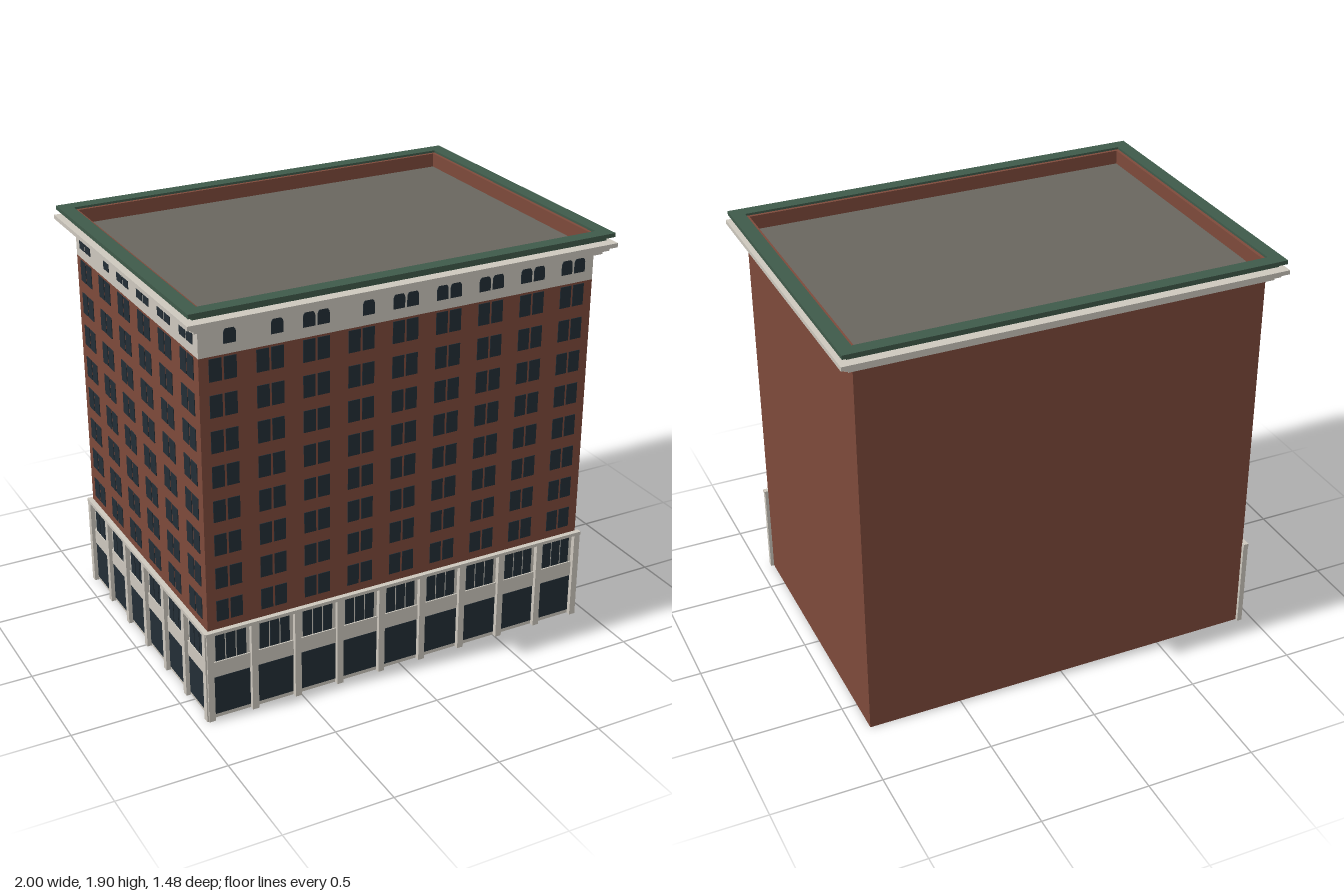
import * as THREE from 'three';
import { mergeGeometries } from 'three/addons/utils/BufferGeometryUtils.js';

const W = 1.858, D = 1.334;            // wall footprint
const BASE = 0.44, FRIEZE = 1.68, EAVE = 1.8;

function mat(name, color, side = THREE.FrontSide) {
  const m = new THREE.MeshStandardMaterial({ color, side });
  m.name = name;
  return m;
}

function box(w, y0, y1, d, x, z) {
  return new THREE.BoxGeometry(w, y1 - y0, d).translate(x, (y0 + y1) / 2, z);
}

// Horizontal rectangular frame, from an inner to an outer footprint
function ring(outW, outD, inW, inD, y0, y1) {
  const rect = (P, w, d) => new P([
    new THREE.Vector2(-w / 2, -d / 2), new THREE.Vector2(w / 2, -d / 2),
    new THREE.Vector2(w / 2, d / 2), new THREE.Vector2(-w / 2, d / 2)]);
  const s = rect(THREE.Shape, outW, outD);
  s.holes.push(rect(THREE.Path, inW, inD));
  return new THREE.ExtrudeGeometry(s, { depth: y1 - y0, bevelEnabled: false })
    .rotateX(-Math.PI / 2).translate(0, y0, 0);
}

// Round-headed pane
function archPane(w, y0, y1, x) {
  const r = w / 2, s = new THREE.Shape();
  s.moveTo(-r, y0);
  s.lineTo(r, y0);
  s.lineTo(r, y1 - r);
  s.absarc(0, y1 - r, r, 0, Math.PI, false);
  s.closePath();
  return new THREE.ExtrudeGeometry(s, { depth: 0.003, bevelEnabled: false, curveSegments: 8 })
    .translate(x, 0, 0);
}

export function createModel() {
  const model = new THREE.Group();
  model.name = 'cornerBuilding';
  const brick = mat('brick', 0x7d4a3b, THREE.DoubleSide);
  const stone = mat('paleStone', 0xcdc8be, THREE.DoubleSide);
  const glass = mat('darkGlass', 0x232e36);
  const green = mat('greenCopper', 0x3f5a4a);
  const gravel = mat('roofGravel', 0x69665f, THREE.DoubleSide);

  const add = (parent, name, geometry, material) => {
    const m = new THREE.Mesh(geometry, material);
    m.name = name;
    parent.add(m);
    return m;
  };
  const wall = (w, y0, y1) => new THREE.PlaneGeometry(w, y1 - y0).translate(0, (y0 + y1) / 2, 0);

  // Decorated street facade, facing local +z
  function facade(name, width, bays, singleArches) {
    const g = new THREE.Group();
    g.name = name;
    add(g, 'brickWall', wall(width, BASE, FRIEZE), brick);
    add(g, 'friezeWall', wall(width, FRIEZE, EAVE), stone);
    add(g, 'baseWall', wall(width, 0, BASE), stone);

    const pitch = width / bays, k = pitch / 0.2065;
    const panes = [], arches = [], shopGlass = [], trim = [];
    for (let i = 0; i < bays; i++) {
      const c = (i + 0.5 - bays / 2) * pitch;
      for (const side of [-1, 1]) {
        const x = c + side * 0.0325 * k;
        for (let row = 0; row < 8; row++) {
          const y = 0.478 + row * 0.1564;
          panes.push(box(0.055 * k, y, y + 0.098, 0.003, x, 0.0015));
        }
        if (side > 0 || !singleArches.includes(i)) arches.push(archPane(0.054 * k, 1.725, 1.795, x));
      }
      // Shop window, three transom lights and the band between them
      shopGlass.push(box(0.173 * k, 0.02, 0.205, 0.004, c, 0.002));
      for (const j of [-1, 0, 1]) {
        shopGlass.push(box(0.043 * k, 0.285, 0.415, 0.004, c + j * 0.0495 * k, 0.002));
      }
      trim.push(box(pitch - 0.03, 0.208, 0.282, 0.006, c, 0.003));
    }
    // Pilasters and the lintel course above them
    for (let i = 0; i <= bays; i++) {
      trim.push(box(0.03, 0, 0.43, 0.024, (i - bays / 2) * pitch, 0.01));
    }
    trim.push(box(width + 0.035, 0.425, BASE, 0.025, 0, 0.0105));

    add(g, 'upperWindows', mergeGeometries(panes), glass);
    add(g, 'archedWindows', mergeGeometries(arches), glass);
    add(g, 'shopWindows', mergeGeometries(shopGlass), glass);
    add(g, 'baseTrim', mergeGeometries(trim), stone);
    model.add(g);
    return g;
  }

  facade('frontFacade', W, 9, [0, 1, 3]).position.z = D / 2;
  const sideFacade = facade('rightFacade', D, 6, [1]);
  sideFacade.rotation.y = -Math.PI / 2;
  sideFacade.position.x = -W / 2;

  // Plain party walls
  const backWall = add(model, 'backWall', wall(W, 0, EAVE), brick);
  backWall.rotation.y = Math.PI;
  backWall.position.z = -D / 2;
  const leftWall = add(model, 'leftWall', wall(D, 0, EAVE), brick);
  leftWall.rotation.y = Math.PI / 2;
  leftWall.position.x = W / 2;

  // Parapet and sunken roof
  add(model, 'parapet', ring(W, D, W - 0.03, D - 0.03, EAVE, 1.89), brick);
  add(model, 'roof', new THREE.PlaneGeometry(W - 0.02, D - 0.02)
    .rotateX(-Math.PI / 2).translate(0, 1.825, 0), gravel);

  // Stepped stone cornice
  [[0.027, 1.8, 1.818], [0.047, 1.818, 1.837], [0.071, 1.837, 1.856]].forEach(([o, y0, y1], i) =>
    add(model, 'corniceStep' + (i + 1), ring(W + 2 * o, D + 2 * o, W - 0.002, D - 0.002, y0, y1), stone));

  // Green coping in two steps
  [[0.036, 1.863, 1.882], [0.062, 1.882, 1.9]].forEach(([o, y0, y1], i) =>
    add(model, 'coping' + (i + 1), ring(W + 2 * o, D + 2 * o, W, D, y0, y1), green));

  return model;
}
